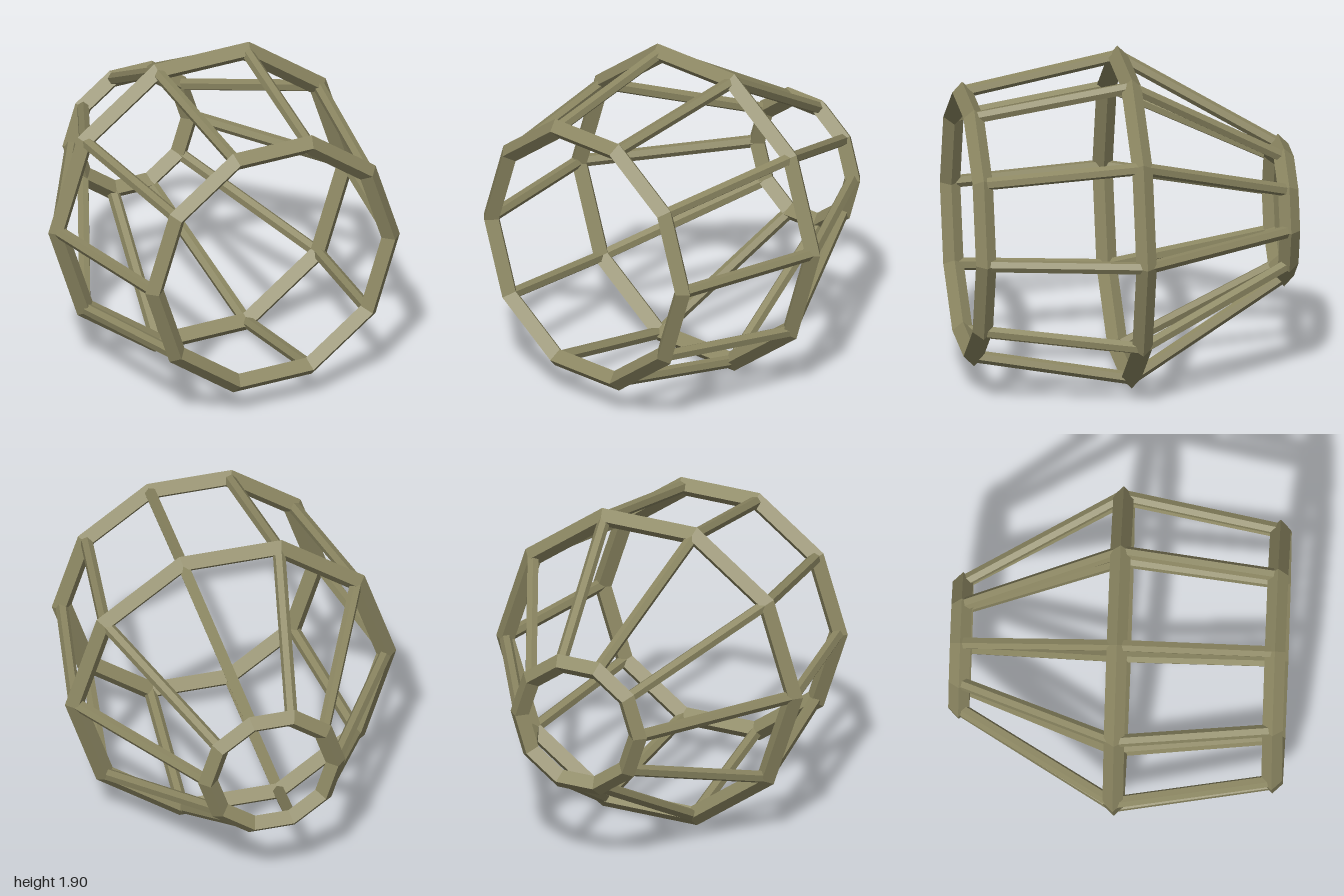
import * as THREE from 'three';

const SIDES = 10;
const TUBE = 0.06;     // ring thickness (radius)
const STRUT = 0.037;   // strut thickness (radius)
const CENTRE_Y = 0.951;

// The three hoops of the cage: radius and depth of each
const HOOPS = {
  frontRing: { r: 0.77, z: 0.92 },
  middleRing: { r: 0.94, z: 0 },
  backRing: { r: 0.385, z: -0.92 },
};

// Six-sided bar lying in the xz plane between two hoop corners
function strutGeometry(a, b) {
  const dr = b.r - a.r, dz = b.z - a.z;
  const geo = new THREE.CylinderGeometry(STRUT, STRUT, Math.hypot(dr, dz), 6, 1, false, Math.PI / 2);
  geo.rotateX(Math.PI / 2);
  geo.rotateY(Math.atan2(dr, dz));
  geo.translate((a.r + b.r) / 2, 0, (a.z + b.z) / 2);
  return geo;
}

export function createModel() {
  const model = new THREE.Group();
  model.name = 'cageFrame';
  const olive = new THREE.MeshStandardMaterial({ color: 0x8c8762, flatShading: true });
  olive.name = 'olive';

  const frame = new THREE.Group();
  frame.name = 'frame';
  frame.position.y = CENTRE_Y;
  model.add(frame);

  // Ten-sided hoops with a diamond cross-section
  for (const [name, { r, z }] of Object.entries(HOOPS)) {
    const ring = new THREE.Mesh(new THREE.TorusGeometry(r, TUBE, 4, SIDES), olive);
    ring.name = name;
    ring.position.z = z;
    frame.add(ring);
  }

  // Struts joining matching corners of neighbouring hoops
  const spans = {
    frontStrut: strutGeometry(HOOPS.middleRing, HOOPS.frontRing),
    backStrut: strutGeometry(HOOPS.backRing, HOOPS.middleRing),
  };
  for (const [name, geo] of Object.entries(spans)) {
    for (let i = 0; i < SIDES; i++) {
      const strut = new THREE.Mesh(geo, olive);
      strut.name = name + (i + 1);
      strut.rotation.z = (i / SIDES) * Math.PI * 2;
      frame.add(strut);
    }
  }
  return model;
}
